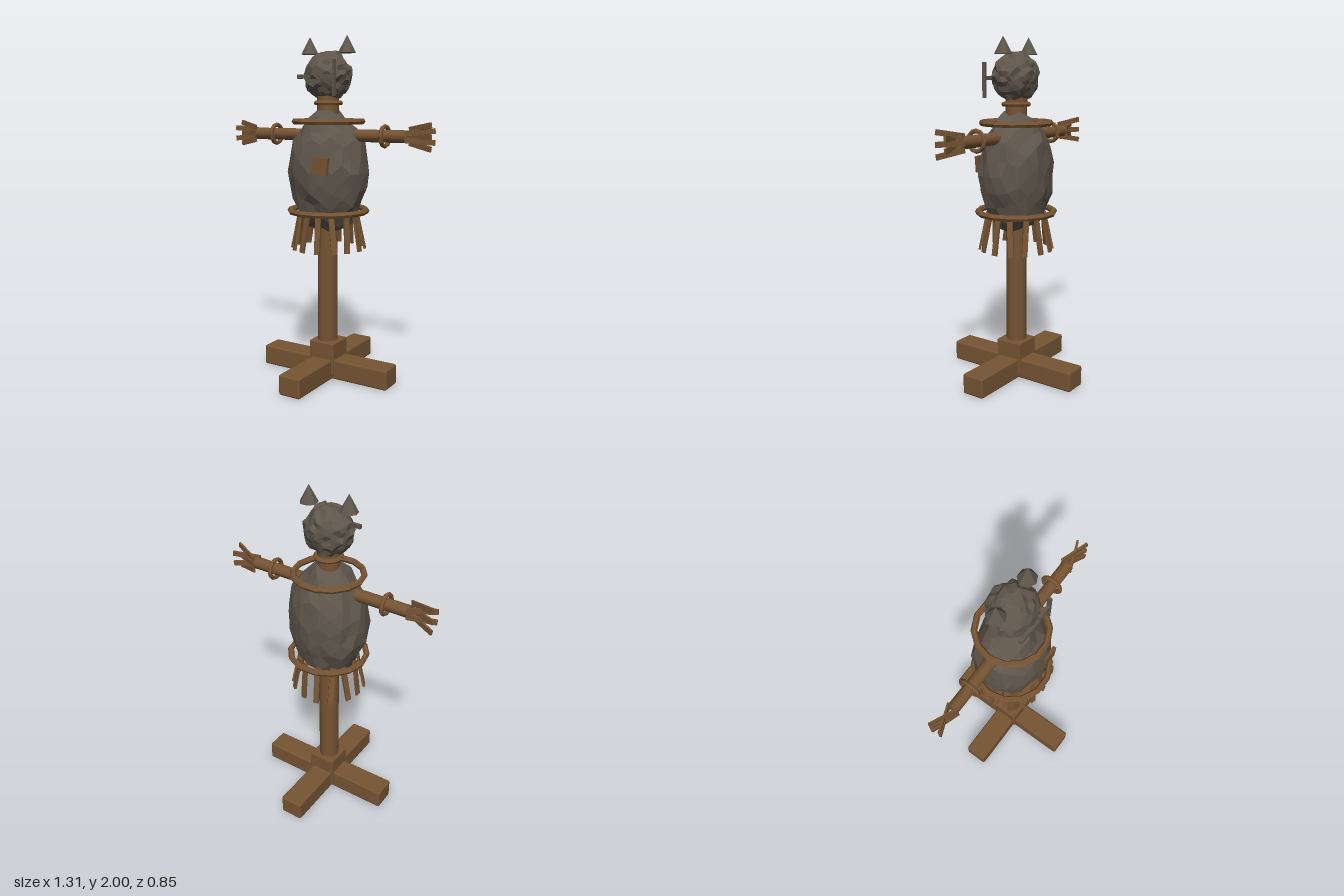
import * as THREE from 'three';
import { RoundedBoxGeometry } from 'three/addons/geometries/RoundedBoxGeometry.js';

export function createModel() {
  const model = new THREE.Group();
  model.name = 'scarecrow';
  const wood = new THREE.MeshStandardMaterial({ color: 0x765433 });
  wood.name = 'wood brown';
  const sack = new THREE.MeshStandardMaterial({ color: 0x5f564b });
  sack.name = 'burlap grey';

  const add = (name, geometry, material, x = 0, y = 0, z = 0, parent = model) => {
    const mesh = new THREE.Mesh(geometry, material);
    mesh.name = name;
    mesh.position.set(x, y, z);
    parent.add(mesh);
    return mesh;
  };

  // Give every triangle its own flat normal
  const facet = (geometry) => {
    const g = geometry.index ? geometry.toNonIndexed() : geometry;
    g.computeVertexNormals();
    return g;
  };

  // Crumpled ball: each vertex is pushed in or out by a hash of its position
  const lump = (rx, ry, rz, detail, rough) => {
    const g = new THREE.IcosahedronGeometry(1, detail);
    const p = g.attributes.position;
    const v = new THREE.Vector3();
    for (let i = 0; i < p.count; i++) {
      v.fromBufferAttribute(p, i);
      const a = Math.round(v.x * 500), b = Math.round(v.y * 500), c = Math.round(v.z * 500);
      const h = Math.sin(a * 12.9898 + b * 78.233 + c * 37.719) * 43758.5453;
      const s = 1 + rough * ((h - Math.floor(h)) * 2 - 1);
      p.setXYZ(i, v.x * rx * s, v.y * ry * s, v.z * rz * s);
    }
    return facet(g);
  };

  const hoop = (name, radius, tube, y) => {
    const ring = add(name, facet(new THREE.TorusGeometry(radius, tube, 6, 14)), wood, 0, y, 0);
    ring.rotation.x = Math.PI / 2;
    return ring;
  };

  // Stand: crossed beams, socket and post
  add('baseBeamSide', new RoundedBoxGeometry(0.85, 0.12, 0.14, 2, 0.012), wood, 0, 0.06, 0);
  add('baseBeamFront', new RoundedBoxGeometry(0.14, 0.12, 0.85, 2, 0.012), wood, 0, 0.06, 0);
  add('postSocket', new RoundedBoxGeometry(0.165, 0.2, 0.165, 2, 0.008), wood, 0, 0.12, 0);
  add('post', new THREE.CylinderGeometry(0.057, 0.061, 1.5, 14), wood, -0.004, 0.85, 0);
  add('neck', new THREE.CylinderGeometry(0.063, 0.063, 0.13, 14), wood, -0.002, 1.6, 0);

  // Stuffed body and head
  add('torso', lump(0.24, 0.355, 0.205, 3, 0.055), sack, 0, 1.23, 0);
  add('head', lump(0.138, 0.138, 0.128, 4, 0.085), sack, 0, 1.78, 0);

  // Hoops around neck, shoulders and waist
  hoop('neckRing', 0.071, 0.014, 1.625);
  hoop('shoulderHoop', 0.196, 0.018, 1.52);
  hoop('waistHoop', 0.224, 0.018, 1.003);

  // Patch on the chest
  const patch = add('chestPatch', new THREE.BoxGeometry(0.095, 0.095, 0.02), wood, 0.07, 1.28, 0.2);
  patch.rotation.z = -0.1;

  // Skirt of straw hanging from the waist
  const skirt = new THREE.Group();
  skirt.name = 'strawSkirt';
  model.add(skirt);
  const count = 14;
  for (let i = 0; i < count; i++) {
    const spoke = new THREE.Group();
    spoke.rotation.y = (i / count) * Math.PI * 2;
    skirt.add(spoke);
    const straw = add('skirtStraw', new THREE.BoxGeometry(0.014, 0.225, 0.032), wood, 0.192, 0.888, 0, spoke);
    straw.rotation.set(0.1 * Math.sin(i * 2.3), 0, 0.17 + 0.04 * Math.sin(i * 1.7));
  }

  // Crossbar arms with wrist rings and straw hands
  const bar = add('crossbar', new THREE.CylinderGeometry(0.035, 0.035, 1.02, 12), wood, 0, 1.442, 0);
  bar.rotation.z = Math.PI / 2;
  for (const side of [1, -1]) {
    const wrist = add('wristRing', facet(new THREE.TorusGeometry(0.055, 0.013, 6, 12)), wood, side * 0.365, 1.442, 0);
    wrist.rotation.y = Math.PI / 2;
    for (let i = -2; i <= 2; i++) {
      const straw = add('handStraw', new THREE.BoxGeometry(0.165, 0.03, 0.012), wood, side * 0.575, 1.443 + i * 0.025, 0);
      straw.rotation.set(0, (i % 2 ? 1 : -1) * 0.38, side * i * 0.085);
    }
    // Pointed ears
    add('ear', facet(new THREE.ConeGeometry(0.052, 0.098, 7)), sack, side * 0.123, 1.951, 0);
  }

  // Stitched mouth and its loose hanging strip
  const stitches = [[-0.077, 1.77], [-0.003, 1.745], [0.075, 1.77]];
  for (const [x, y] of stitches) {
    add('mouthStitch', new THREE.BoxGeometry(0.08, 0.022, 0.02), sack, x, y, 0.135);
  }
  add('looseStrip', new THREE.BoxGeometry(0.012, 0.2, 0.022), sack, 0.118, 1.76, 0.136);

  return model;
}
